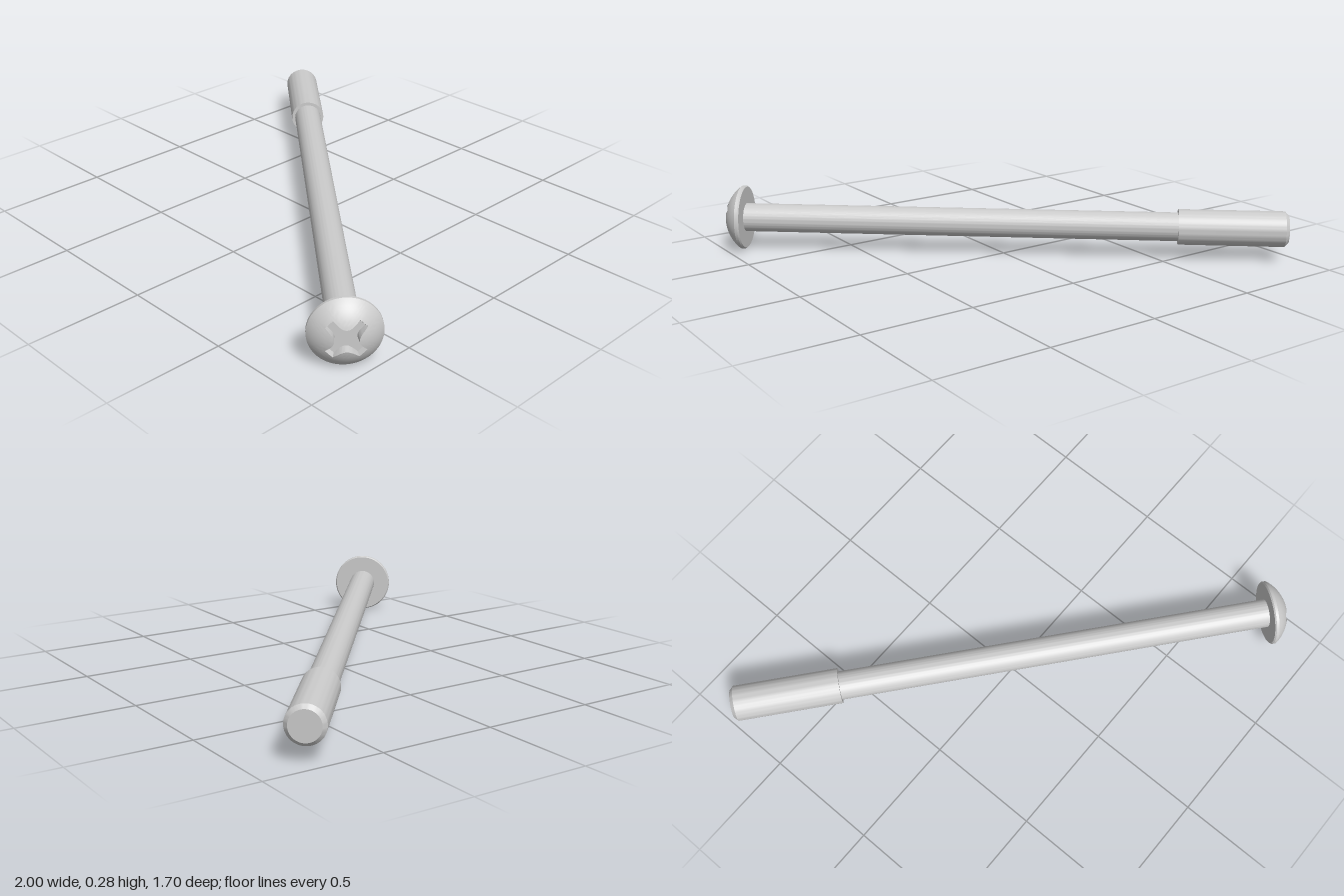
import * as THREE from 'three';
import { toCreasedNormals } from 'three/addons/utils/BufferGeometryUtils.js';

const material = new THREE.MeshStandardMaterial({ color: 0xcccccc });

function lathe(name, points) {
  const geo = new THREE.LatheGeometry(points.map(p => new THREE.Vector2(...p)), 64);
  const mesh = new THREE.Mesh(toCreasedNormals(geo, 0.5), material);
  mesh.name = name;
  return mesh;
}

// Outline of the cross-shaped recess, as [angle, radius] pairs around the axis
function crossOutline(reach, half) {
  const V = (x, y) => new THREE.Vector2(x, y);
  const flank = new THREE.CubicBezierCurve(V(reach, half), V(0.03, half), V(half, 0.03), V(half, reach));
  const quarter = [V(reach, -half), V(reach, -half / 2), V(reach, 0), V(reach, half / 2), ...flank.getPoints(16).slice(0, -1)];
  const out = [];
  for (let k = 0; k < 4; k++) {
    for (const p of quarter) out.push([Math.atan2(p.y, p.x) + k * Math.PI / 2, p.length()]);
  }
  return out;
}

// Domed head: rings run from the underside, over the dome, down into the recess
function headGeometry() {
  const rim = 0.142, rimTop = 0.018, top = 0.09, floor = 0.045;
  const rise = top - rimTop;
  const R = (rim * rim + rise * rise) / (2 * rise);
  const dome = r => top - R + Math.sqrt(R * R - r * r);
  const outline = crossOutline(0.088, 0.02);
  const rings = [() => [0, 0], () => [rim - 0.005, 0], () => [rim, 0.006], () => [rim, rimTop]];
  const steps = 10;
  for (let i = 1; i <= steps; i++) {
    rings.push(c => {
      const r = THREE.MathUtils.lerp(rim, c, i / steps);
      return [r, dome(r)];
    });
  }
  rings.push(c => [c * 0.9, floor], () => [0, floor]);

  const n = outline.length, pos = [], index = [];
  rings.forEach((ring, i) => {
    outline.forEach(([a, c], j) => {
      const [r, y] = ring(c);
      pos.push(r * Math.cos(a), y, r * Math.sin(a));
      if (i === rings.length - 1) return;
      const p = i * n + j, q = i * n + (j + 1) % n;
      if (i > 0) index.push(p, p + n, q);
      if (i < rings.length - 2) index.push(q, p + n, q + n);
    });
  });
  const geo = new THREE.BufferGeometry();
  geo.setAttribute('position', new THREE.Float32BufferAttribute(pos, 3));
  geo.setIndex(index);
  return toCreasedNormals(geo, 0.5);
}

export function createModel() {
  const group = new THREE.Group();
  const bolt = new THREE.Group();
  bolt.name = 'bolt';

  // Thin shank and thicker end section with a chamfered tip
  bolt.add(lathe('shank', [[0.063, -1.94], [0.063, 0]]));
  bolt.add(lathe('thickEnd', [
    [0, -2.4], [0.062, -2.4], [0.078, -2.384], [0.078, -1.925], [0.063, -1.925],
  ]));

  const head = new THREE.Mesh(headGeometry(), material);
  head.name = 'head';
  bolt.add(head);

  // Lay the bolt along a horizontal diagonal, resting on the head rim
  const axis = new THREE.Vector3(1.847, 0, 1.535).normalize();
  const up = new THREE.Vector3(0, 1, 0);
  const side = new THREE.Vector3().crossVectors(axis, up);
  bolt.quaternion.setFromRotationMatrix(new THREE.Matrix4().makeBasis(side, axis, up));
  // Rotate the head so the recess arms run diagonally
  head.rotation.y = Math.PI / 4;
  bolt.position.set(0.895, 0.142, 0.735);
  group.add(bolt);
  return group;
}
